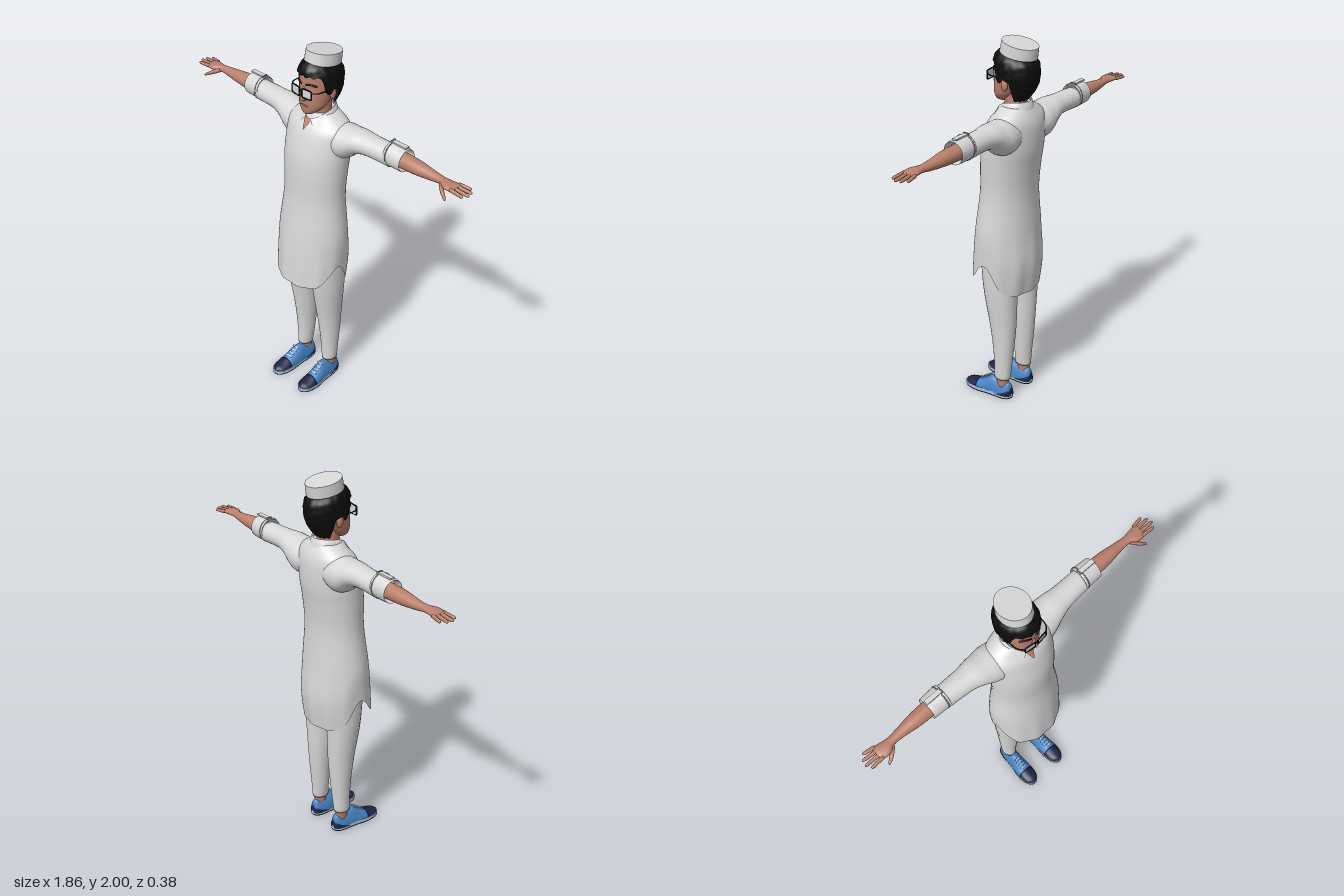
import * as THREE from 'three';

const mat = (name, color, side = THREE.FrontSide) => {
  const m = new THREE.MeshStandardMaterial({ color, side });
  m.name = name;
  return m;
};

// Catmull-Rom blend between rows of numbers
function refine(rows, sub) {
  const out = [];
  for (let i = 0; i < rows.length - 1; i++) {
    const a = rows[Math.max(i - 1, 0)], b = rows[i], c = rows[i + 1], d = rows[Math.min(i + 2, rows.length - 1)];
    for (let k = 0; k < sub; k++) {
      const t = k / sub;
      out.push(b.map((_, j) => b[j] + 0.5 * t * (c[j] - a[j] + t * (2 * a[j] - 5 * b[j] + 4 * c[j] - d[j] + t * (3 * (b[j] - c[j]) + d[j] - a[j])))));
    }
  }
  out.push(rows[rows.length - 1]);
  return out;
}

// Skin a list of point rings; rings wrap round when closed, ends get fans when capped
function skinRings(rings, { closed = true, caps = [true, true] } = {}) {
  const n = rings[0].length, pos = rings.flat(2), idx = [];
  const cols = closed ? n : n - 1;
  for (let r = 0; r < rings.length - 1; r++)
    for (let i = 0; i < cols; i++) {
      const a = r * n + i, b = r * n + (i + 1) % n;
      idx.push(a, b, a + n, b, b + n, a + n);
    }
  [0, rings.length - 1].forEach((r, e) => {
    if (!closed || !caps[e]) return;
    const c = pos.length / 3, m = [0, 1, 2].map(k => rings[r].reduce((s, p) => s + p[k], 0) / n);
    pos.push(...m);
    for (let i = 0; i < n; i++) {
      const a = r * n + i, b = r * n + (i + 1) % n;
      e ? idx.push(a, b, c) : idx.push(b, a, c);
    }
  });
  // Turn faces outward using the signed volume about the middle
  const mid = [0, 1, 2].map(k => { let s = 0; for (let i = k; i < pos.length; i += 3) s += pos[i]; return s * 3 / pos.length; });
  const P = i => new THREE.Vector3(pos[3 * i] - mid[0], pos[3 * i + 1] - mid[1], pos[3 * i + 2] - mid[2]);
  let vol = 0;
  for (let i = 0; i < idx.length; i += 3) vol += P(idx[i]).dot(P(idx[i + 1]).cross(P(idx[i + 2])));
  if (vol < 0) idx.reverse();
  const g = new THREE.BufferGeometry();
  g.setAttribute('position', new THREE.Float32BufferAttribute(pos, 3));
  g.setIndex(idx);
  g.computeVertexNormals();
  return g;
}

// Elliptical loft; row = [along axis, centre, centre, radius, radius]
function loft(axis, rows, { n = 28, sub = 4, caps, rule = p => p } = {}) {
  return skinRings(refine(rows, sub).map(([t, u, v, p, q]) =>
    Array.from({ length: n }, (_, i) => {
      const a = i / n * Math.PI * 2, c = u + p * Math.cos(a), s = v + q * Math.sin(a);
      return rule(axis === 'y' ? [c, t, s] : axis === 'x' ? [t, c, s] : [c, s, t], a);
    })), { caps });
}

const tube = (pts, r, seg = 12) =>
  new THREE.TubeGeometry(new THREE.CatmullRomCurve3(pts.map(p => new THREE.Vector3(...p))), seg, r, 8);
const ball = (x, y, z, sx, sy, sz) => new THREE.SphereGeometry(1, 16, 12).scale(sx, sy, sz).translate(x, y, z);
const box = (w, h, d, x, y, z, rx = 0) => new THREE.BoxGeometry(w, h, d).rotateX(rx).translate(x, y, z);

function mirrored(geo) {
  const g = geo.index ? geo.clone() : geo.clone().setIndex([...Array(geo.attributes.position.count).keys()]);
  g.scale(-1, 1, 1);
  g.setIndex(Array.from(g.index.array).reverse());
  return g;
}

export function createModel() {
  const root = new THREE.Group();
  root.name = 'standingMan';
  const cloth = mat('white cloth', 0xd8d8d8, THREE.DoubleSide), skin = mat('skin', 0xba806b, THREE.DoubleSide);
  const black = mat('black hair', 0x0c0c0c, THREE.DoubleSide), blue = mat('shoe blue', 0x4583c4);
  const navy = mat('shoe navy', 0x1d2446), pale = mat('pale blue sole', 0xa4c4e2);
  const dark = mat('dark outsole', 0x1c141a), lens = mat('lens', 0xd6dadc);
  const lip = mat('lips', 0x8f5549), seam = mat('grey seam', 0x8c8c8c);
  const add = (name, geo, m) => {
    const mesh = new THREE.Mesh(geo, m);
    mesh.name = name;
    root.add(mesh);
  };
  const pair = (name, geo, m) => { add(name + 'Left', geo, m); add(name + 'Right', mirrored(geo), m); };
  const smooth = THREE.MathUtils.smoothstep;

  // Long tunic: curved hem raised at the sides, soft folds in the skirt
  add('tunic', loft('y', [
    [0.70, 0, 0, 0.195, 0.163], [0.85, 0, -0.014, 0.2, 0.168], [1.0, 0, -0.015, 0.197, 0.154],
    [1.2, 0, -0.022, 0.176, 0.136], [1.35, 0, -0.03, 0.18, 0.14], [1.45, 0, -0.042, 0.185, 0.142],
    [1.55, 0, -0.056, 0.187, 0.128], [1.60, 0, -0.063, 0.182, 0.112], [1.635, 0, -0.07, 0.145, 0.09], [1.67, 0, -0.07, 0.085, 0.07],
  ], {
    n: 72, sub: 5, caps: [false, true],
    rule: ([x, y, z], a) => {
      const w = 1 - smooth(y, 0.7, 1.1), fold = 1 + 0.022 * w * Math.sin(11 * a) * Math.abs(Math.sin(a));
      const lift = 0.12 * Math.abs(Math.cos(a)) ** 8 - 0.05 * smooth(-Math.sin(a), 0, 0.6);
      return [x * fold, y + w * lift, z * fold];
    },
  }), cloth);

  // Collar falling to two points at the front
  const collar = [0, 1, 2].map(k => Array.from({ length: 41 }, (_, i) => {
    const gap = [0.2, 0.24, 0.5][k], p = gap + (Math.PI * 2 - 2 * gap) * i / 40, f = ((1 + Math.cos(p)) / 2) ** 3;
    const rx = [0.066, 0.074, 0.088 + 0.03 * f][k], rz = [0.07 + 0.014 * f, 0.078 + 0.014 * f, 0.088 + 0.042 * f][k];
    return [rx * Math.sin(p), [1.69 - 0.05 * f, 1.697 - 0.05 * f, 1.655 - 0.068 * f][k], -0.063 + rz * Math.cos(p)];
  }));
  add('collar', skinRings(collar, { closed: false }), cloth);
  add('openNeck', skinRings([[[-0.024, 1.645, 0.024], [0.024, 1.645, 0.024]], [[-0.003, 1.595, 0.06], [0.003, 1.595, 0.06]]], { closed: false }), skin);

  // Sleeves with rolled cuffs and buttoned tabs
  pair('sleeve', loft('x', [
    [0.08, 1.54, -0.075, 0.08, 0.09], [0.15, 1.54, -0.078, 0.092, 0.098], [0.2, 1.55, -0.08, 0.083, 0.09],
    [0.25, 1.572, -0.083, 0.064, 0.078], [0.32, 1.58, -0.087, 0.053, 0.064], [0.46, 1.577, -0.093, 0.054, 0.058],
  ]), cloth);
  pair('cuff', loft('x', [
    [0.50, 1.585, -0.095, 0.045, 0.045], [0.53, 1.585, -0.095, 0.054, 0.053], [0.535, 1.586, -0.095, 0.058, 0.057],
    [0.49, 1.588, -0.095, 0.061, 0.06], [0.445, 1.591, -0.095, 0.063, 0.061], [0.438, 1.59, -0.095, 0.057, 0.057], [0.46, 1.58, -0.094, 0.05, 0.05],
  ], { caps: [false, false] }), cloth);
  pair('cuffSeam', new THREE.TorusGeometry(0.061, 0.003, 6, 32).rotateY(Math.PI / 2).translate(0.452, 1.591, -0.095), seam);
  pair('cuffTab', box(0.09, 0.008, 0.025, 0.49, 1.654, -0.1), cloth);
  pair('cuffTabEdge', box(0.008, 0.014, 0.03, 0.445, 1.654, -0.1), seam);

  // Forearm and palm
  pair('forearm', loft('x', [
    [0.48, 1.582, -0.094, 0.04, 0.042], [0.6, 1.582, -0.094, 0.036, 0.039], [0.7, 1.581, -0.094, 0.025, 0.027],
    [0.76, 1.583, -0.091, 0.018, 0.023], [0.8, 1.583, -0.083, 0.017, 0.036], [0.84, 1.582, -0.087, 0.013, 0.039], [0.853, 1.582, -0.087, 0.007, 0.034],
  ]), skin);

  // Fingers: root x, root z, tip x, tip z
  [[0.835, -0.12, 0.9, -0.132], [0.84, -0.1, 0.922, -0.108], [0.84, -0.078, 0.928, -0.08], [0.835, -0.057, 0.912, -0.053]].forEach(([x0, z0, x1, z1], i) =>
    pair('finger' + (i + 1), loft('x', [0, 0.5, 0.9, 1].map((t, k) => {
      const r = [0.01, 0.009, 0.0075, 0.002][k];
      return [x0 + (x1 - x0) * t, 1.583 - 0.004 * t, z0 + (z1 - z0) * t, r, r];
    }), { n: 10, sub: 3 }), skin));
  pair('thumb', loft('x', [
    [0.765, 1.578, -0.075, 0.012, 0.015], [0.79, 1.568, -0.052, 0.013, 0.014], [0.815, 1.555, -0.035, 0.01, 0.011],
    [0.833, 1.546, -0.025, 0.007, 0.007], [0.838, 1.543, -0.022, 0.001, 0.001],
  ], { n: 12 }), skin);

  // Trousers and ankles
  pair('trouserLeg', loft('y', [
    [0.115, 0.095, -0.046, 0.038, 0.046], [0.2, 0.092, -0.049, 0.045, 0.05], [0.32, 0.09, -0.05, 0.054, 0.061], [0.45, 0.088, -0.045, 0.065, 0.075],
    [0.6, 0.091, -0.035, 0.078, 0.09], [0.72, 0.092, -0.03, 0.084, 0.1], [0.92, 0.09, -0.02, 0.086, 0.105],
  ]), cloth);
  pair('ankle', loft('y', [[0.06, 0.095, -0.048, 0.028, 0.034], [0.13, 0.095, -0.048, 0.03, 0.037]]), skin);

  // Shoes: half-round uppers on a flat sole
  const flat = { n: 32, rule: ([x, y, z]) => [x, Math.max(y, 0.016), z] };
  pair('shoeUpper', loft('z', [
    [-0.1, 0.092, 0.016, 0.02, 0.055], [-0.085, 0.092, 0.016, 0.032, 0.078], [-0.05, 0.093, 0.016, 0.039, 0.08], [0, 0.095, 0.016, 0.041, 0.092],
    [0.025, 0.096, 0.016, 0.042, 0.088], [0.06, 0.098, 0.016, 0.045, 0.066], [0.105, 0.1, 0.016, 0.047, 0.042],
  ], flat), blue);
  pair('shoeToe', loft('z', [
    [0.103, 0.1, 0.016, 0.0475, 0.0435], [0.14, 0.1, 0.016, 0.045, 0.031], [0.17, 0.1, 0.016, 0.034, 0.024], [0.188, 0.1, 0.016, 0.01, 0.012],
  ], flat), navy);
  pair('shoeHeel', loft('z', [
    [-0.103, 0.092, 0.016, 0.02, 0.04], [-0.085, 0.092, 0.016, 0.035, 0.055], [-0.045, 0.093, 0.016, 0.0415, 0.03], [-0.02, 0.094, 0.016, 0.042, 0.008],
  ], flat), navy);
  const print = new THREE.Shape();
  print.moveTo(0.092, 0.104);
  print.bezierCurveTo(0.15, 0.104, 0.125, 0.02, 0.144, -0.06);
  print.bezierCurveTo(0.158, -0.14, 0.135, -0.193, 0.1, -0.193);
  print.bezierCurveTo(0.065, -0.193, 0.043, -0.14, 0.052, -0.06);
  print.bezierCurveTo(0.062, 0.02, 0.036, 0.104, 0.092, 0.104);
  const slab = (y, h) => new THREE.ExtrudeGeometry(print, { depth: h, bevelEnabled: false, curveSegments: 14 }).rotateX(-Math.PI / 2).translate(0, y, 0);
  pair('sole', slab(0.006, 0.018), pale);
  pair('outsole', slab(0, 0.006), dark);
  for (let i = 0; i < 4; i++)
    pair('lace' + (i + 1), box(0.04, 0.005, 0.008, 0.097, 0.103 - i * 0.0115, 0.032 + i * 0.017, 0.55), pale);

  // Neck, head and face
  add('neck', loft('y', [[1.62, 0, -0.064, 0.058, 0.062], [1.68, 0, -0.06, 0.054, 0.058], [1.76, 0, -0.06, 0.056, 0.06]]), skin);
  add('head', loft('y', [
    [1.676, 0, 0.018, 0.018, 0.024], [1.688, 0, 0.008, 0.042, 0.044], [1.72, 0, -0.01, 0.07, 0.066], [1.76, 0, -0.03, 0.081, 0.088],
    [1.8, 0, -0.046, 0.088, 0.101], [1.85, 0, -0.055, 0.09, 0.109], [1.9, 0, -0.055, 0.085, 0.104], [1.94, 0, -0.055, 0.055, 0.075],
  ]), skin);
  add('nose', loft('y', [
    [1.757, 0, 0.055, 0.01, 0.006], [1.764, 0, 0.058, 0.017, 0.016], [1.775, 0, 0.058, 0.014, 0.017], [1.8, 0, 0.054, 0.009, 0.012], [1.83, 0, 0.05, 0.007, 0.006],
  ], { n: 16 }), skin);
  add('mouth', ball(0, 1.73, 0.05, 0.026, 0.007, 0.009), lip);
  pair('ear', ball(0.09, 1.785, -0.055, 0.011, 0.031, 0.019), skin);
  pair('eyebrow', tube([[0.014, 1.843, 0.054], [0.04, 1.849, 0.046], [0.064, 1.84, 0.026]], 0.005), black);

  // Tousled hair with fringe, sideburns and nape
  const hair = Array.from({ length: 19 }, (_, r) => Array.from({ length: 64 }, (_, i) => {
    const a = i / 64 * Math.PI * 2, f = Math.sin(a), t = r / 18;
    const hem = 1.7 + 0.112 * smooth(f, -0.4, -0.15) - 0.02 * smooth(f, 0.1, 0.25) + 0.095 * smooth(f, 0.42, 0.62) + 0.004 * Math.sin(a * 17);
    const y = hem + (1.945 + 0.018 * f - hem) * Math.sin(t * Math.PI / 2), s = (y - 1.83) / (0.115 + 0.018 * f);
    const wave = 1 + 0.022 * Math.sin(9 * a + 60 * y) * Math.sin(5 * a - 85 * y);
    const k = (s > 0 ? Math.sqrt(Math.max(0.02, 1 - s ** 4)) : 1 - 0.27 * s * s) * wave;
    return [0.104 * k * Math.cos(a), y, -0.062 + 0.125 * k * f];
  }));
  add('hair', skinRings(hair, { caps: [false, true] }), black);

  // Tilted oval cap
  add('cap', new THREE.CylinderGeometry(0.081, 0.083, 0.06, 48).scale(1, 1, 1.2).rotateX(-0.165).translate(0, 1.953, -0.08), cloth);

  // Spectacles
  const oblong = (w, h, r, S) => {
    const s = new S();
    s.moveTo(-w + r, -h).lineTo(w - r, -h).quadraticCurveTo(w, -h, w, -h + r).lineTo(w, h - r).quadraticCurveTo(w, h, w - r, h);
    s.lineTo(-w + r, h).quadraticCurveTo(-w, h, -w, h - r).lineTo(-w, -h + r).quadraticCurveTo(-w, -h, -w + r, -h);
    return s;
  };
  const rim = oblong(0.031, 0.026, 0.01, THREE.Shape);
  rim.holes.push(oblong(0.026, 0.021, 0.008, THREE.Path));
  const place = g => g.rotateY(0.12).translate(0.036, 1.807, 0.068);
  pair('spectacleRim', place(new THREE.ExtrudeGeometry(rim, { depth: 0.006, bevelEnabled: false })), black);
  pair('spectacleLens', place(new THREE.ExtrudeGeometry(oblong(0.0265, 0.0215, 0.008, THREE.Shape), { depth: 0.003, bevelEnabled: false })), lens);
  add('spectacleBridge', tube([[-0.009, 1.815, 0.073], [0, 1.819, 0.076], [0.009, 1.815, 0.073]], 0.003), black);
  pair('spectacleArm', tube([[0.066, 1.82, 0.066], [0.088, 1.82, 0.04], [0.096, 1.816, -0.05]], 0.003), black);
  return root;
}
